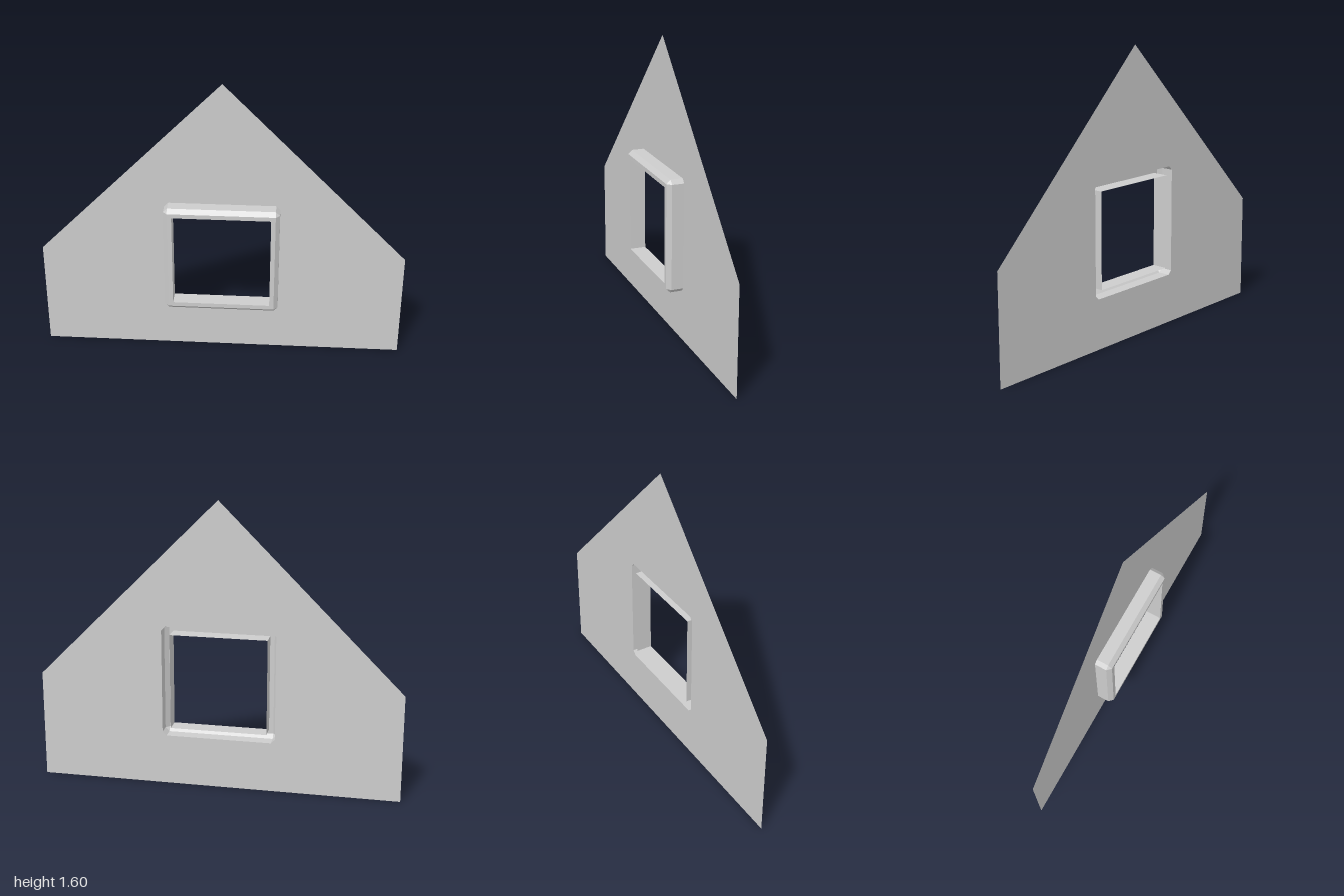
import * as THREE from 'three';

const BACK = -0.045, SHOULDER = 0.022, FRONT = 0.045; // depths along z
const CENTRE_Y = 0.594;                               // middle of the window
const OUTER = 0.313, FACE = 0.291, INNER = 0.267;     // half sizes of the frame
const CHAMFER = OUTER - FACE;

// Square loop of eight points, counter-clockwise from the front, with cut corners
function squareLoop(half, cut, z) {
  const points = [];
  for (let k = 0; k < 4; k++) {
    for (const [x, y] of [[half, half - cut], [half - cut, half]]) {
      const p = new THREE.Vector3(x, y, z);
      for (let r = 0; r < k; r++) p.set(-p.y, p.x, z);
      points.push(p);
    }
  }
  return points;
}

// Faceted skin between successive loops, leaving out collapsed triangles
function skin(loops) {
  const positions = [];
  const addTriangle = (a, b, c) => {
    if (new THREE.Triangle(a, b, c).getArea() < 1e-7) return;
    for (const p of [a, b, c]) positions.push(p.x, p.y, p.z);
  };
  for (let l = 0; l < loops.length - 1; l++) {
    const from = loops[l], to = loops[l + 1];
    for (let i = 0; i < from.length; i++) {
      const j = (i + 1) % from.length;
      addTriangle(from[i], from[j], to[j]);
      addTriangle(from[i], to[j], to[i]);
    }
  }
  const geometry = new THREE.BufferGeometry();
  geometry.setAttribute('position', new THREE.Float32BufferAttribute(positions, 3));
  geometry.computeVertexNormals();
  return geometry;
}

export function createModel() {
  const model = new THREE.Group();
  model.name = 'gableWallWithWindow';
  const grey = new THREE.MeshStandardMaterial({ color: 0xcccccc, side: THREE.DoubleSide });
  grey.name = 'light grey';

  // Thin gable wall with an opening that follows the frame's outer edge
  const outline = new THREE.Shape(
    [[-1, 0], [1, 0], [1, 0.6], [0, 1.6], [-1, 0.6]].map(([x, y]) => new THREE.Vector2(x, y)));
  outline.holes.push(new THREE.Path(
    squareLoop(OUTER, CHAMFER, 0).reverse().map((p) => new THREE.Vector2(p.x, p.y + CENTRE_Y))));
  const wall = new THREE.Mesh(new THREE.ShapeGeometry(outline), grey);
  wall.name = 'gableWall';
  wall.position.z = BACK;
  model.add(wall);

  // Hollow frame, open at the back: outer side, bevel, front face, inner side
  const frame = new THREE.Mesh(skin([
    squareLoop(OUTER, CHAMFER, BACK),
    squareLoop(OUTER, CHAMFER, SHOULDER),
    squareLoop(FACE, 0, FRONT),
    squareLoop(INNER, 0, FRONT),
    squareLoop(INNER, 0, BACK),
  ]), grey);
  frame.name = 'windowFrame';
  frame.position.y = CENTRE_Y;
  model.add(frame);

  return model;
}
